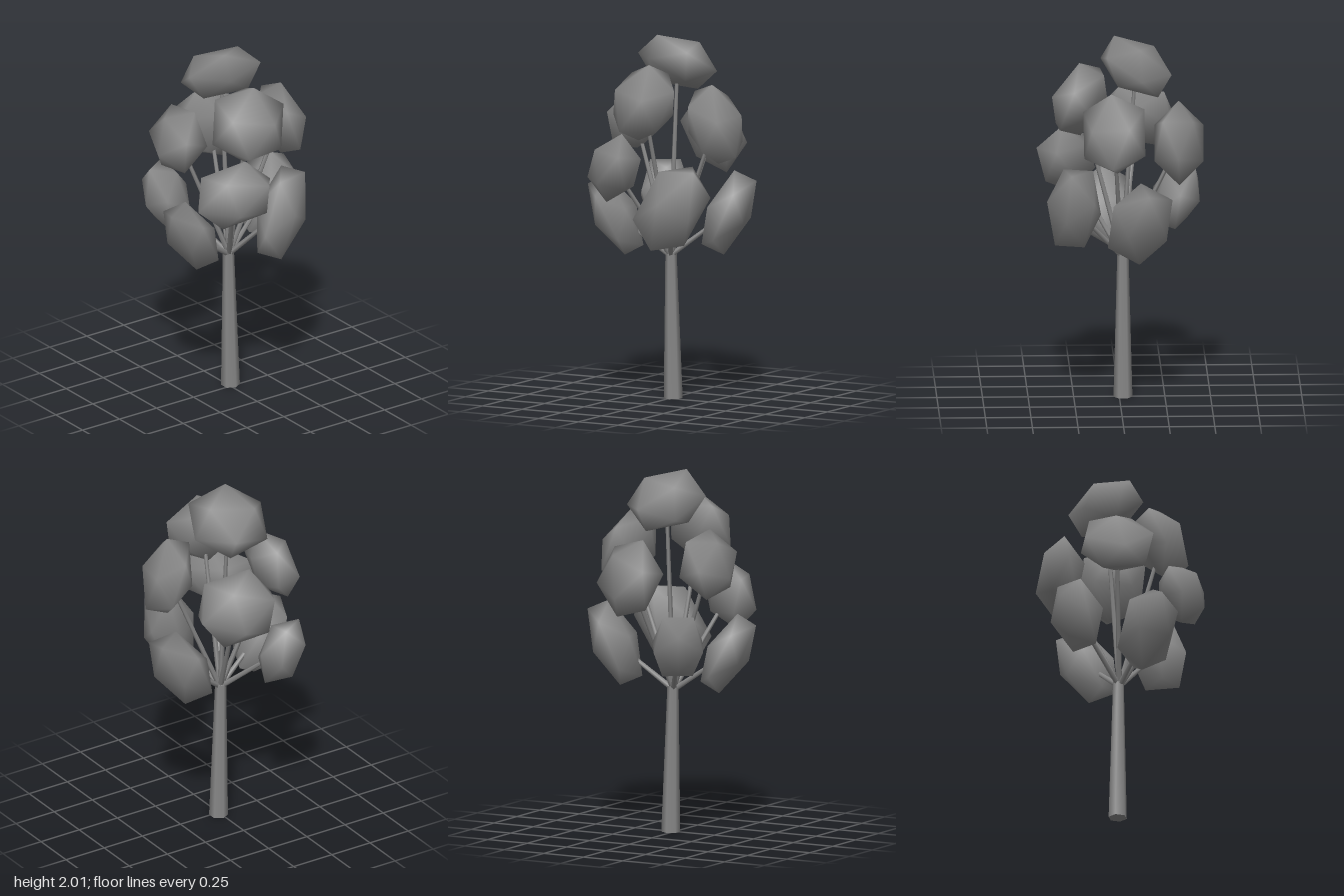
import * as THREE from 'three';
import { mergeVertices } from 'three/addons/utils/BufferGeometryUtils.js';

const bark = new THREE.MeshStandardMaterial({ color: 0x888888 });
bark.name = 'grey';

// Tapered rod between two points
function rod(name, from, to, r0, r1, sides) {
  const a = new THREE.Vector3(...from);
  const d = new THREE.Vector3(...to).sub(a);
  const geo = new THREE.CylinderGeometry(r1, r0, d.length(), sides);
  geo.translate(0, d.length() / 2, 0);
  const mesh = new THREE.Mesh(geo, bark);
  mesh.quaternion.setFromUnitVectors(new THREE.Vector3(0, 1, 0), d.normalize());
  mesh.position.copy(a);
  mesh.name = name;
  return mesh;
}

// Flattened smooth icosahedron facing outwards;
// size is half length, half width, half thickness; roll turns its length up from horizontal
function foliage({ pos, out, roll, size }) {
  let geo = new THREE.IcosahedronGeometry(1 / 0.85, 0);
  geo.deleteAttribute('normal');
  geo.deleteAttribute('uv');
  geo = mergeVertices(geo);
  geo.rotateY(Math.PI / 2);
  geo.scale(size[0], size[2], size[1]);
  geo.computeVertexNormals();

  const n = new THREE.Vector3(...out).normalize();
  const t = new THREE.Vector3(0, 1, 0).cross(n).normalize();
  t.applyAxisAngle(n, THREE.MathUtils.degToRad(roll));
  const mesh = new THREE.Mesh(geo, bark);
  mesh.name = 'foliageCluster';
  mesh.quaternion.setFromRotationMatrix(new THREE.Matrix4().makeBasis(t, n, t.clone().cross(n)));
  mesh.position.set(...pos);
  return mesh;
}

const clusters = [
  // crown top
  { pos: [0, 1.853, -0.092], out: [0.08, 0.86, -0.5], roll: 78, size: [0.195, 0.205, 0.12] },
  // upper ring
  { pos: [-0.037, 1.663, 0.215], out: [-0.3, 0.4, 0.87], roll: 80, size: [0.2, 0.195, 0.125] },
  { pos: [0.312, 1.546, 0.037], out: [0.9, 0.33, 0.2], roll: 95, size: [0.21, 0.17, 0.11] },
  { pos: [0.095, 1.443, -0.325], out: [0.4, 0.15, -0.9], roll: 15, size: [0.21, 0.195, 0.115] },
  { pos: [-0.275, 1.52, -0.11], out: [-0.93, 0.28, -0.1], roll: 10, size: [0.195, 0.17, 0.11] },
  // lower ring
  { pos: [-0.183, 1.3, 0.287], out: [-0.6, 0.1, 0.8], roll: 22, size: [0.21, 0.16, 0.11] },
  { pos: [0.16, 1.095, 0.253], out: [0.5, -0.1, 0.8], roll: 62, size: [0.248, 0.16, 0.115] },
  { pos: [0.318, 1.04, -0.105], out: [0.85, -0.4, -0.3], roll: 92, size: [0.228, 0.172, 0.11] },
  { pos: [-0.307, 1.005, 0.055], out: [-0.85, -0.47, 0.15], roll: 88, size: [0.22, 0.15, 0.1] },
  { pos: [-0.205, 1.087, -0.32], out: [-0.5, -0.35, -0.8], roll: 0, size: [0.135, 0.185, 0.11] },
];

export function createModel() {
  const tree = new THREE.Group();
  tree.name = 'tree';
  tree.add(rod('trunk', [0.014, 0, -0.02], [0, 0.81, -0.02], 0.052, 0.031, 6));
  for (const c of clusters) {
    tree.add(rod('branch', [0, 0.79, -0.015], c.pos, 0.016, 0.01, 5));
    tree.add(foliage(c));
  }
  return tree;
}
